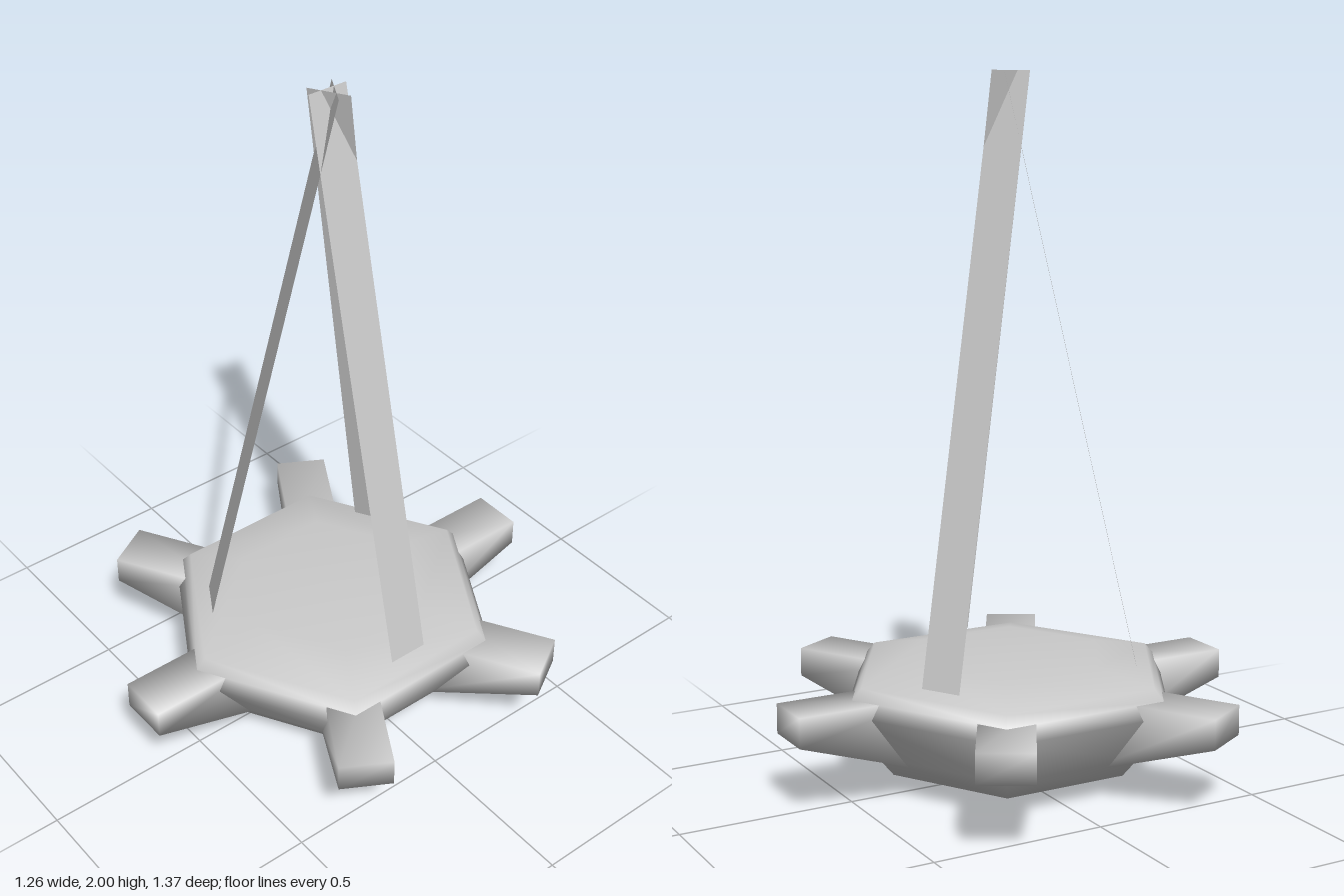
import * as THREE from 'three';
import { mergeVertices } from 'three/addons/utils/BufferGeometryUtils.js';

// Shares the corners of a geometry so its shading is smooth
function smooth(geometry) {
  geometry.deleteAttribute('normal');
  geometry.deleteAttribute('uv');
  const merged = mergeVertices(geometry, 1e-4);
  merged.computeVertexNormals();
  return merged;
}

export function createModel() {
  const group = new THREE.Group();
  const solid = new THREE.MeshStandardMaterial({ color: 0xcccccc });
  const thin = new THREE.MeshStandardMaterial({ color: 0xcccccc, side: THREE.DoubleSide });

  // Six-sided bowl: corner radius and height, from bottom to top
  const profile = [
    [0, 0], [0.22, 0], [0.37, 0.055], [0.42, 0.115], [0.517, 0.25],
    [0.495, 0.29], [0.467, 0.32], [0.29, 0.355], [0, 0.355],
  ].map(([r, y]) => new THREE.Vector2(r, y));
  const body = new THREE.Mesh(new THREE.LatheGeometry(profile, 6), solid);
  body.name = 'body';
  group.add(body);

  // Arms: boxes with an underside that rises toward the tip
  const inner = 0.3, tip = 0.685, top = 0.29;
  const armGeometry = new THREE.BoxGeometry(0.156, 1, 1);
  const p = armGeometry.attributes.position;
  for (let i = 0; i < p.count; i++) {
    const outside = p.getZ(i) > 0;
    p.setZ(i, outside ? tip : inner);
    p.setY(i, p.getY(i) > 0 ? top : outside ? 0.205 : 0.08);
  }
  const smoothArm = smooth(armGeometry);
  for (let i = 0; i < 6; i++) {
    const arm = new THREE.Mesh(smoothArm, solid);
    arm.name = 'arm' + (i + 1);
    arm.rotation.y = (i * Math.PI) / 3;
    group.add(arm);
  }

  // Three flat straps leaning together and crossing at the top
  const foot = new THREE.Vector2(0.363, 0.335);
  const head = new THREE.Vector2(-0.012, 2);
  const run = head.clone().sub(foot);
  const strapGeometry = new THREE.PlaneGeometry(0.12, run.length());
  strapGeometry.rotateY(Math.PI / 2);
  strapGeometry.rotateZ(Math.atan2(-run.x, run.y));
  strapGeometry.translate((foot.x + head.x) / 2, (foot.y + head.y) / 2, 0);
  for (let i = 0; i < 3; i++) {
    const strap = new THREE.Mesh(strapGeometry, thin);
    strap.name = 'strap' + (i + 1);
    strap.rotation.y = (i * Math.PI * 2) / 3;
    group.add(strap);
  }

  return group;
}
